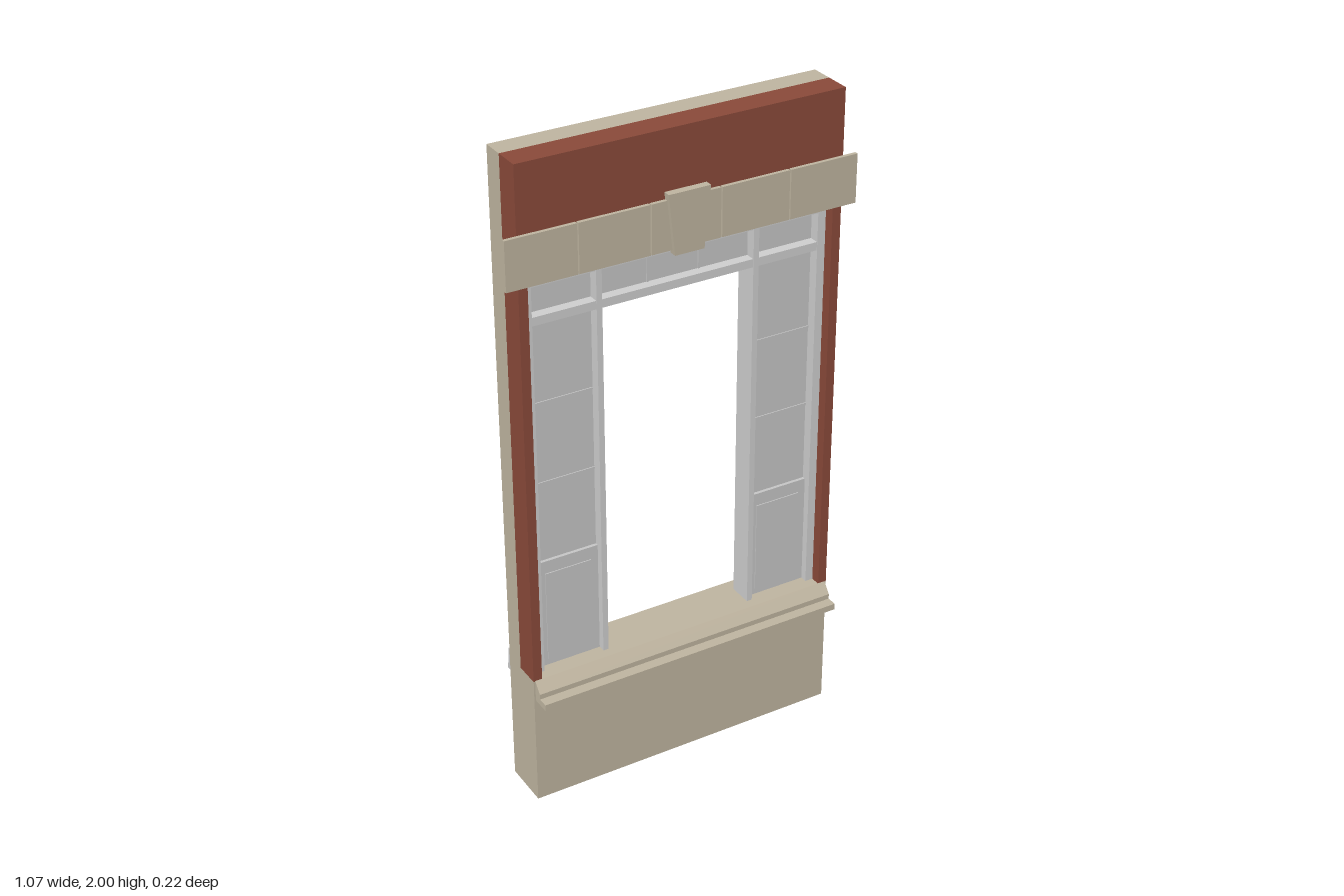
import * as THREE from 'three';

export function createModel() {
  const root = new THREE.Group();
  const material = (name, color) => {
    const m = new THREE.MeshStandardMaterial({ color });
    m.name = name;
    return m;
  };
  const stone = material('stone', 0xbfb5a0);
  const brick = material('brick', 0x8a4a3a);
  const paint = material('framePaint', 0xcfcfcf);
  const pane = material('panelGrey', 0xc6c6c6);

  const add = (name, geometry, mat, parent = root) => {
    const mesh = new THREE.Mesh(geometry, mat);
    mesh.name = name;
    parent.add(mesh);
    return mesh;
  };
  // Box given by its limits on each axis
  const box = (name, x0, x1, y0, y1, z0, z1, mat, parent) => {
    const g = new THREE.BoxGeometry(x1 - x0, y1 - y0, z1 - z0);
    g.translate((x0 + x1) / 2, (y0 + y1) / 2, (z0 + z1) / 2);
    return add(name, g, mat, parent);
  };
  // Outline in x, y extruded from z0 to z1
  const slab = (name, points, z0, z1, mat) => {
    const shape = new THREE.Shape(points.map(p => new THREE.Vector2(...p)));
    const g = new THREE.ExtrudeGeometry(shape, { depth: z1 - z0, bevelEnabled: false });
    return add(name, g.translate(0, 0, z0), mat);
  };
  // Profile in z, y extruded along x
  const moulding = (name, profile, x0, x1, mat) => {
    const shape = new THREE.Shape(profile.map(([z, y]) => new THREE.Vector2(-z, y)));
    const g = new THREE.ExtrudeGeometry(shape, { depth: x1 - x0, bevelEnabled: false });
    return add(name, g.rotateY(Math.PI / 2).translate(x0, 0, 0), mat);
  };

  // Wall: stone base, brick facing and inner lining around the opening
  const W = 0.495, O = 0.468, SILL = 0.42, HEAD = 1.66;
  const arch = [[-W, SILL], [-O, SILL], [-O, HEAD], [O, HEAD], [O, SILL], [W, SILL], [W, 2], [-W, 2]];
  box('wallBase', -W, W, 0, SILL, -0.095, 0.052, stone);
  slab('brickFacing', arch, -0.027, 0.052, brick);
  slab('innerLining', arch, -0.095, -0.027, stone);

  // Sill with a sloped top and a projecting ledge
  moulding('sill', [[0.052, 0.422], [0.078, 0.39], [0.078, 0.374], [0.11, 0.374], [0.11, 0.354], [0.052, 0.354]],
    -0.49, 0.49, stone);

  // Lintel blocks with narrow joints, and the keystone
  const joints = [-0.535, -0.325, -0.11, 0.105, 0.32, 0.535];
  for (let i = 0; i < 5; i++) {
    box('lintelBlock', joints[i] + (i ? 0.002 : 0), joints[i + 1] - (i < 4 ? 0.002 : 0),
      HEAD, 1.805, 0.052, 0.063, stone);
  }
  slab('keystone', [[-0.045, 1.648], [0.045, 1.648], [0.064, 1.826], [-0.064, 1.826]], 0.052, 0.075, stone);

  // Window frame: stiles, mullions and rails
  const frame = new THREE.Group();
  frame.name = 'windowFrame';
  root.add(frame);
  const F0 = -0.055, F1 = 0.02;
  for (const s of [-1, 1]) {
    const span = (name, a, b, y0, y1, z0, z1, mat) =>
      box(name, Math.min(s * a, s * b), Math.max(s * a, s * b), y0, y1, z0, z1, mat, frame);
    span('stile', 0.443, O, SILL, HEAD, F0, F1, paint);
    span('mullion', 0.235, 0.252, SILL, HEAD, F0, F1, paint);
    span('sidePanel', 0.252, 0.443, 0.77, 1.52, -0.022, -0.012, pane);
    span('lowerPanel', 0.252, 0.443, SILL, 0.77, -0.032, -0.002, pane);
    span('lowerPanelField', 0.275, 0.42, SILL + 0.02, 0.73, -0.035, 0.001, pane);
    for (const y of [1.02, 1.27]) span('glazingBar', 0.252, 0.443, y - 0.003, y + 0.003, -0.025, -0.009, pane);
    span('sideTransomPanel', 0.252, 0.443, 1.545, 1.632, -0.022, -0.012, pane);
    // Small bracket on the back at sill level
    moulding('backBracket', [[-0.095, 0.445], [-0.095, 0.37], [-0.11, 0.37], [-0.104, 0.41], [-0.101, 0.445]],
      s > 0 ? 0.468 : -W, s > 0 ? W : -0.468, paint);
    // Joint in the middle transom
    span('transomBar', 0.077, 0.083, 1.545, 1.632, -0.025, -0.009, pane);
  }
  box('transomPanel', -0.235, 0.235, 1.545, 1.632, -0.022, -0.012, pane, frame);
  box('transomRail', -0.443, 0.443, 1.52, 1.545, F0 + 0.002, F1 - 0.002, paint, frame);
  box('headRail', -0.443, 0.443, 1.632, HEAD, F0 + 0.002, F1 - 0.002, paint, frame);

  return root;
}
